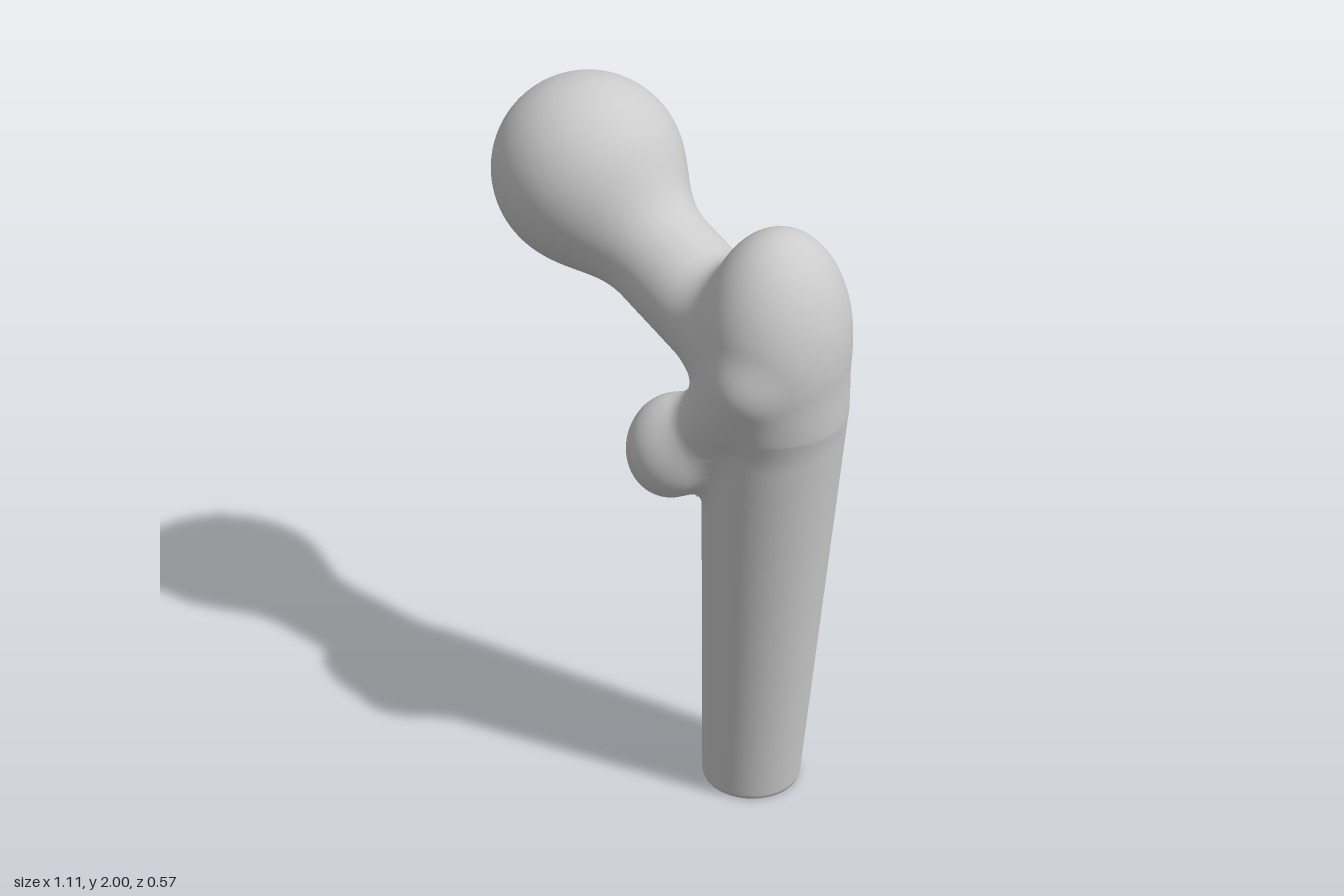
import * as THREE from 'three';

const V = (x, y, z) => new THREE.Vector3(x, y, z);
const lerp = THREE.MathUtils.lerp;

// Shaft: a leaning, widening column with a domed top
const TOP = 1.27;
const shaftAt = (y) => {
  const t = THREE.MathUtils.clamp(y / TOP, 0, 1);
  return { x: lerp(0.23, 0.347, t), z: lerp(-0.08, 0.008, t), r: lerp(0.14, 0.188, t) };
};

// Distance functions of the simple forms
const ellipsoid = (c, r) => (p) => {
  const q = p.clone().sub(c).divide(r);
  const k = q.length();
  return k < 1e-4 ? -Math.min(r.x, r.y, r.z) : k * (k - 1) / q.divide(r).length();
};
const capsule = (a, b, r) => {
  const line = new THREE.Line3(a, b);
  return (p) => line.closestPointToPoint(p, true, V()).distanceTo(p) - r;
};
const shaftField = (p) => {
  const s = shaftAt(p.y);
  return Math.hypot(p.x - s.x, Math.max(0, p.y - TOP), p.z - s.z) - s.r;
};

// Starting meshes of the simple forms
const ellipsoidMesh = (c, r) =>
  new THREE.SphereGeometry(1, 96, 64).scale(r.x, r.y, r.z).translate(c.x, c.y, c.z);

function capsuleMesh(a, b, r) {
  const dir = b.clone().sub(a);
  const len = dir.length();
  const turn = new THREE.Quaternion().setFromUnitVectors(V(0, 1, 0), dir.normalize());
  const mid = a.clone().add(b).multiplyScalar(0.5);
  return new THREE.CapsuleGeometry(r, len, 16, 64, 60)
    .applyQuaternion(turn).translate(mid.x, mid.y, mid.z);
}

function shaftMesh() {
  const pts = [[0, 0], [0.128, 0], [0.137, 0.003], [0.14, 0.012]];
  for (let i = 1; i <= 80; i++) {
    const y = TOP * i / 80;
    pts.push([shaftAt(y).r, y]);
  }
  const r = shaftAt(TOP).r;
  for (let i = 1; i <= 14; i++) {
    const a = i / 14 * Math.PI / 2;
    pts.push([Math.max(0, r * Math.cos(a)), TOP + r * Math.sin(a)]);
  }
  const geo = new THREE.LatheGeometry(pts.map(([x, y]) => new THREE.Vector2(x, y)), 80);
  const pos = geo.attributes.position;
  for (let i = 0; i < pos.count; i++) {
    const s = shaftAt(pos.getY(i));
    pos.setX(i, pos.getX(i) + s.x);
    pos.setZ(i, pos.getZ(i) + s.z);
  }
  return geo;
}

const round = (name, blend, c, r) =>
  ({ name, blend, field: ellipsoid(c, r), mesh: () => ellipsoidMesh(c, r) });
const rod = (name, blend, a, b, r) =>
  ({ name, blend, field: capsule(a, b, r), mesh: () => capsuleMesh(a, b, r) });

// All parts, each with the width of its fillet into the ones before it
const PARTS = [
  { name: 'shaft', blend: 0, field: shaftField, mesh: shaftMesh },
  round('greaterTrochanter', 0.06, V(0.368, 1.49, 0.04), V(0.184, 0.3, 0.207)),
  rod('neck', 0.1, V(-0.3, 1.71, -0.035), V(0.33, 1.385, 0.015), 0.145),
  round('head', 0.1, V(-0.303, 1.745, -0.032), V(0.255, 0.255, 0.255)),
  round('lesserTrochanter', 0.06, V(0.13, 1.15, 0.148), V(0.118, 0.14, 0.136)),
  rod('trochantericRidge', 0.07, V(0.16, 1.16, 0.155), V(0.375, 1.42, 0.185), 0.07),
];

// Smooth union of every part
function field(p) {
  let d = PARTS[0].field(p);
  for (const { field: f, blend: k } of PARTS.slice(1)) {
    const e = f(p);
    const h = Math.max(k - Math.abs(d - e), 0) / k;
    d = Math.min(d, e) - h * h * k / 4;
  }
  return d;
}

function gradient(p) {
  const h = 0.0015;
  const slope = (dx, dy, dz) =>
    (field(V(p.x + dx, p.y + dy, p.z + dz)) - field(V(p.x - dx, p.y - dy, p.z - dz))) / (2 * h);
  return V(slope(h, 0, 0), slope(0, h, 0), slope(0, 0, h));
}

// Push vertices near the joints out onto the smooth union; deeply buried ones stay hidden
function blendToUnion(geo) {
  geo.computeVertexNormals();
  const pos = geo.attributes.position;
  const nor = geo.attributes.normal;
  const p = V();
  for (let i = 0; i < pos.count; i++) {
    p.fromBufferAttribute(pos, i);
    if (p.y < 0.03) continue;
    if (field(p) > -0.06) {
      for (let n = 0; n < 5; n++) {
        const d = field(p);
        if (Math.abs(d) < 1e-4) break;
        const g = gradient(p);
        p.addScaledVector(g, -d / Math.max(g.lengthSq(), 0.2));
      }
      pos.setXYZ(i, p.x, p.y, p.z);
    }
    const g = gradient(p).normalize();
    nor.setXYZ(i, g.x, g.y, g.z);
  }
  return geo;
}

export function createModel() {
  const group = new THREE.Group();
  group.name = 'upperThighBone';
  const material = new THREE.MeshStandardMaterial({ color: 0xcccccc });
  for (const part of PARTS) {
    const mesh = new THREE.Mesh(blendToUnion(part.mesh()), material);
    mesh.name = part.name;
    group.add(mesh);
  }
  return group;
}
